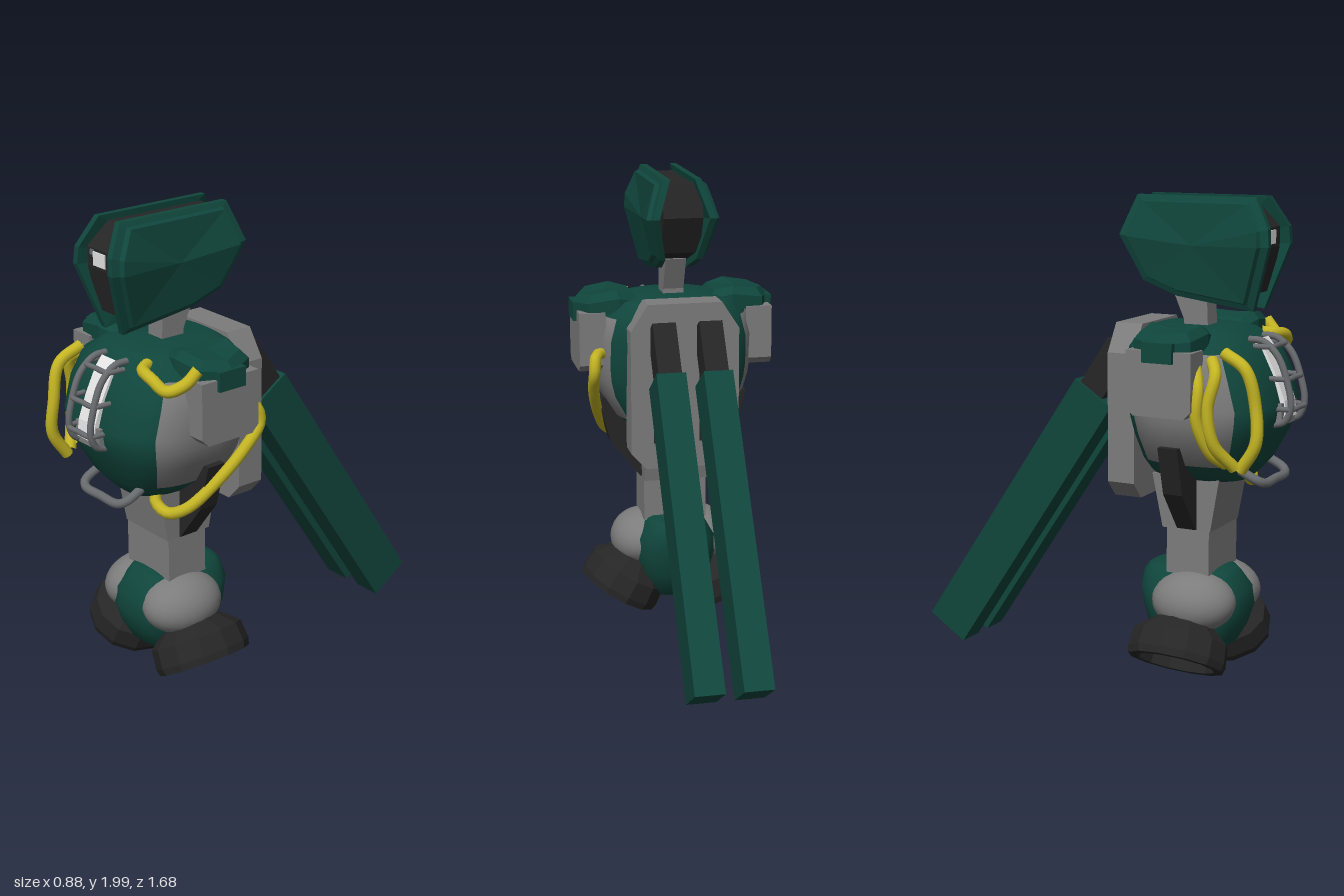
import * as THREE from 'three';

const mat = (name, color) => {
  const m = new THREE.MeshStandardMaterial({ color });
  m.name = name;
  return m;
};
const V = (x, y, z) => new THREE.Vector3(x, y, z);

// Closed skin through rings of points; pick(i, j) sends a quad to the second material
function loft(rings, { flat = false, cap = true, pick = null } = {}) {
  const n = rings[0].length, pos = [], lists = [[], []];
  rings.forEach(r => r.forEach(p => pos.push(p.x, p.y, p.z)));
  for (let i = 0; i < rings.length - 1; i++) for (let j = 0; j < n; j++) {
    const a = i * n + j, b = i * n + (j + 1) % n, c = a + n, d = b + n;
    lists[pick && pick(i, j) ? 1 : 0].push(a, c, b, b, c, d);
  }
  if (cap) [0, rings.length - 1].forEach((i, k) => {
    const mid = V(0, 0, 0);
    rings[i].forEach(p => mid.addScaledVector(p, 1 / n));
    const m = pos.length / 3;
    pos.push(mid.x, mid.y, mid.z);
    for (let j = 0; j < n; j++) {
      const a = i * n + j, b = i * n + (j + 1) % n;
      lists[0].push(m, k ? b : a, k ? a : b);
    }
  });
  let g = new THREE.BufferGeometry();
  g.setAttribute('position', new THREE.Float32BufferAttribute(pos, 3));
  g.setIndex([...lists[0], ...lists[1]]);
  if (pick) {
    g.addGroup(0, lists[0].length, 0);
    g.addGroup(lists[0].length, lists[1].length, 1);
  }
  if (flat) g = g.toNonIndexed();
  g.computeVertexNormals();
  return g;
}

// Rounded-square sections stacked in y: [y, half width, back z, front z]
function body(rows, seg, power, pick) {
  const sp = v => Math.sign(v) * Math.abs(v) ** (2 / power);
  return loft(rows.map(([y, hx, zb, zf]) => Array.from({ length: seg }, (_, j) => {
    const t = j / seg * Math.PI * 2;
    return V(hx * sp(Math.cos(t)), y, (zb + zf) / 2 + (zf - zb) / 2 * sp(Math.sin(t)));
  })), { pick });
}

const shape = pts => new THREE.Shape(pts.map(p => new THREE.Vector2(p[0], p[1])));
// Outline in (x, y) pulled from z0 to z1
const slabZ = (pts, z0, z1) =>
  new THREE.ExtrudeGeometry(shape(pts), { depth: z1 - z0, bevelEnabled: false }).translate(0, 0, z0);
// Outline in (z, y) pulled from x0 to x1
const slabX = (pts, x0, x1) =>
  new THREE.ExtrudeGeometry(shape(pts), { depth: x1 - x0, bevelEnabled: false }).rotateY(-Math.PI / 2).translate(x1, 0, 0);
const box = (w, h, d, x, y, z, rx = 0) => new THREE.BoxGeometry(w, h, d).rotateX(rx).translate(x, y, z);
const tube = (pts, r) =>
  new THREE.TubeGeometry(new THREE.CatmullRomCurve3(pts.map(p => V(...p))), 32, r, 10);

// Copy reflected in x with its corners re-ordered
function mirrored(geo) {
  const g = geo.index ? geo.toNonIndexed() : geo.clone();
  for (const key of ['position', 'normal']) {
    const a = g.attributes[key].array;
    for (let i = 0; i < a.length; i += 9) for (let k = 0; k < 3; k++) {
      const t = a[i + 3 + k];
      a[i + 3 + k] = a[i + 6 + k];
      a[i + 6 + k] = t;
    }
    for (let i = 0; i < a.length; i += 3) a[i] *= -1;
  }
  return g;
}

export function createModel() {
  const root = new THREE.Group();
  root.name = 'robot';
  const green = mat('darkGreen', 0x10463c), dark = mat('charcoal', 0x262626);
  const grey = mat('grey', 0x7c7c7c), bar = mat('barGrey', 0x686b6e);
  const yellow = mat('yellow', 0xc4b524), white = mat('white', 0xe6e6e6);
  const add = (name, geo, m) => {
    const mesh = new THREE.Mesh(geo, m);
    mesh.name = name;
    root.add(mesh);
  };
  const pair = (name, geo, m) => {
    add(name + 'Left', geo, m);
    add(name + 'Right', mirrored(geo), m);
  };

  // Head: dark core between two bent armour plates with raised centres
  add('headCore', slabX([[.62, 1.975], [.17, 1.975], [.12, 1.84], [.2, 1.68], [.35, 1.62], [.66, 1.62], [.7, 1.8], [.7, 1.88]], -.085, .085), dark);
  const outline = [[.665, 2], [.145, 2], [.117, 1.92], [.09, 1.84], [.18, 1.655], [.325, 1.597], [.655, 1.55], [.74, 1.81], [.735, 1.88]];
  const bend = y => y > 1.84 ? .157 - (y - 1.84) * .34 : .157 - (1.84 - y) * .22;
  const plateRing = (s, xOf) => outline.map(([z, y]) => {
    const zz = .42 + (z - .42) * s, yy = 1.8 + (y - 1.8) * s;
    return V(xOf(yy), yy, zz);
  });
  pair('headPlate', loft([
    plateRing(1, y => bend(y) - .05), plateRing(1, y => bend(y) - .022),
    plateRing(.9, y => bend(y) - .018), plateRing(.87, y => bend(y)),
  ], { flat: true }), green);
  add('eye', box(.075, .055, .008, -.005, 1.842, .702), white);
  add('eyeMark', box(.02, .02, .008, -.052, 1.865, .702), bar);
  add('neck', slabX([[.45, 1.42], [.44, 1.64], [.28, 1.64], [.34, 1.5], [.34, 1.42]], -.045, .045), grey);

  // Torso: green shell with grey flanks
  const seg = 48;
  const rows = [[.86, .15, .22, .62], [.89, .19, .205, .65], [.94, .255, .19, .69], [1.05, .325, .165, .745],
    [1.12, .345, .15, .767], [1.18, .352, .14, .776], [1.3, .35, .13, .74], [1.4, .32, .14, .69], [1.46, .24, .17, .61], [1.48, .15, .22, .54]];
  add('torso', body(rows, seg, 2.8, (i, j) =>
    i >= 2 && i <= 6 && Math.abs(Math.sin((j + .5) / seg * Math.PI * 2)) < .56), [green, grey]);

  // Shoulders: sloping caps over chamfered arm blocks
  const cap = [[.44, .41], [.385, .53], [.25, .545], [.15, .52], [.15, .3], [.25, .27], [.385, .285]];
  const capRing = (s, yOf) => cap.map(([x, z]) => {
    const xx = .29 + (x - .29) * s;
    return V(xx, yOf(xx), .41 + (z - .41) * s);
  });
  const capTop = x => 1.515 - Math.abs(x - .28) * .25;
  pair('shoulderCap', loft([capRing(1, () => 1.41), capRing(1, x => capTop(x) - .03), capRing(.78, capTop)], { flat: true }), green);
  pair('shoulderTab', box(.03, .08, .13, .425, 1.415, .41), green);
  pair('armBlock', slabX([[.55, 1.42], [.27, 1.42], [.27, 1.19], [.3, 1.16], [.52, 1.16], [.55, 1.19]], .31, .425), grey);

  // Back plate with slots, struts and long pods
  add('backPlate', slabZ([[-.17, .765], [.17, .765], [.235, .835], [.235, 1.37], [.16, 1.485], [-.16, 1.485], [-.235, 1.37], [-.235, .835]], .09, .21), grey);
  pair('backSlot', box(.075, .5, .006, .1, 1.13, .089), dark);
  const tilt = Math.atan2(.74, 1.115);
  pair('podStrut', box(.1, .27, .12, .1, 1.27, .02, tilt), dark);
  pair('pod', box(.125, 1.338, .198, .1, .624, -.389, tilt), green);

  // Chest window and its guard
  add('chestWindow', slabX([[.8, 1.13], [.79, 1.2], [.752, 1.3], [.702, 1.4], [.67, 1.44], [.62, 1.4], [.7, 1.13]], -.055, .055), white);
  add('windowBase', slabX([[.788, 1.1], [.788, 1.19], [.7, 1.19], [.7, 1.1]], -.08, .08), grey);
  pair('guardRail', tube([[.07, 1.44, .64], [.07, 1.435, .7], [.072, 1.38, .765], [.073, 1.27, .81], [.073, 1.18, .825], [.073, 1.12, .8], [.073, 1.1, .74]], .014), bar);
  [[1.415, .735], [1.29, .805], [1.17, .825]].forEach(([y, z], i) =>
    add('guardRung' + i, tube([[-.085, y, z - .07], [-.073, y, z], [0, y, z + .005], [.073, y, z], [.085, y, z - .07]], .011), bar));
  add('bellyHandle', tube([[-.145, .92, .64], [-.14, .885, .71], [-.11, .87, .732], [0, .868, .735], [.11, .87, .732], [.14, .885, .71], [.145, .92, .64]], .019), bar);

  // Cables
  [
    [[-.29, 1.38, .58], [-.35, 1.33, .62], [-.375, 1.2, .6], [-.36, 1.06, .62], [-.29, .96, .68]],
    [[-.27, 1.41, .62], [-.285, 1.35, .72], [-.275, 1.2, .76], [-.285, 1.06, .765], [-.28, .95, .7]],
    [[-.32, 1.37, .52], [-.38, 1.28, .56], [-.388, 1.15, .56], [-.34, 1.02, .6], [-.28, .97, .64]],
    [[.15, 1.44, .6], [.18, 1.435, .645], [.26, 1.42, .66], [.32, 1.385, .64], [.36, 1.41, .58], [.375, 1.46, .53]],
    [[.32, 1.24, .29], [.36, 1.24, .235], [.37, 1.17, .215], [.365, 1.08, .28], [.33, .95, .4], [.27, .84, .51], [.19, .805, .55], [.13, .84, .56], [.12, .89, .54]],
  ].forEach((p, i) => add('cable' + i, tube(p, .025), yellow));

  // Waist, tapering to a square column
  const rect = (y, hx, z0, z1) => [V(hx, y, z0), V(hx, y, z1), V(-hx, y, z1), V(-hx, y, z0)];
  add('waist', loft([rect(.645, .14, .295, .51), rect(.87, .145, .25, .55)], { flat: true }), grey);
  add('waistColumn', box(.28, .2, .19, 0, .555, .41), grey);
  pair('hipBracket', slabZ([[.1, .65], [.148, .65], [.28, .82], [.335, 1.02], [.22, 1.02], [.1, .86]], .365, .45), dark);

  // Pelvis and rounded hips
  add('pelvis', body([[.1, .1, .28, .5], [.15, .135, .23, .56], [.22, .165, .195, .6], [.3, .185, .175, .625],
    [.38, .18, .16, .615], [.44, .14, .17, .575], [.465, .125, .19, .55], [.475, .1, .22, .5]], 32, 2.8), green);
  pair('hip', new THREE.SphereGeometry(1, 24, 16).scale(.145, .125, .18).rotateZ(-.2).translate(.128, .345, .435), grey);

  // Hollow bell feet, splayed outwards
  const bell = [[.13, .13], [.15, 0], [.183, 0], [.19, .03], [.182, .11], [.085, .2], [.13, .13]];
  const foot = new THREE.LatheGeometry(bell.map(p => new THREE.Vector2(...p)), 12).toNonIndexed();
  foot.computeVertexNormals();
  pair('foot', foot.scale(1, 1, 1.11).rotateZ(.53).translate(.25, .105, .41), dark);
  return root;
}
